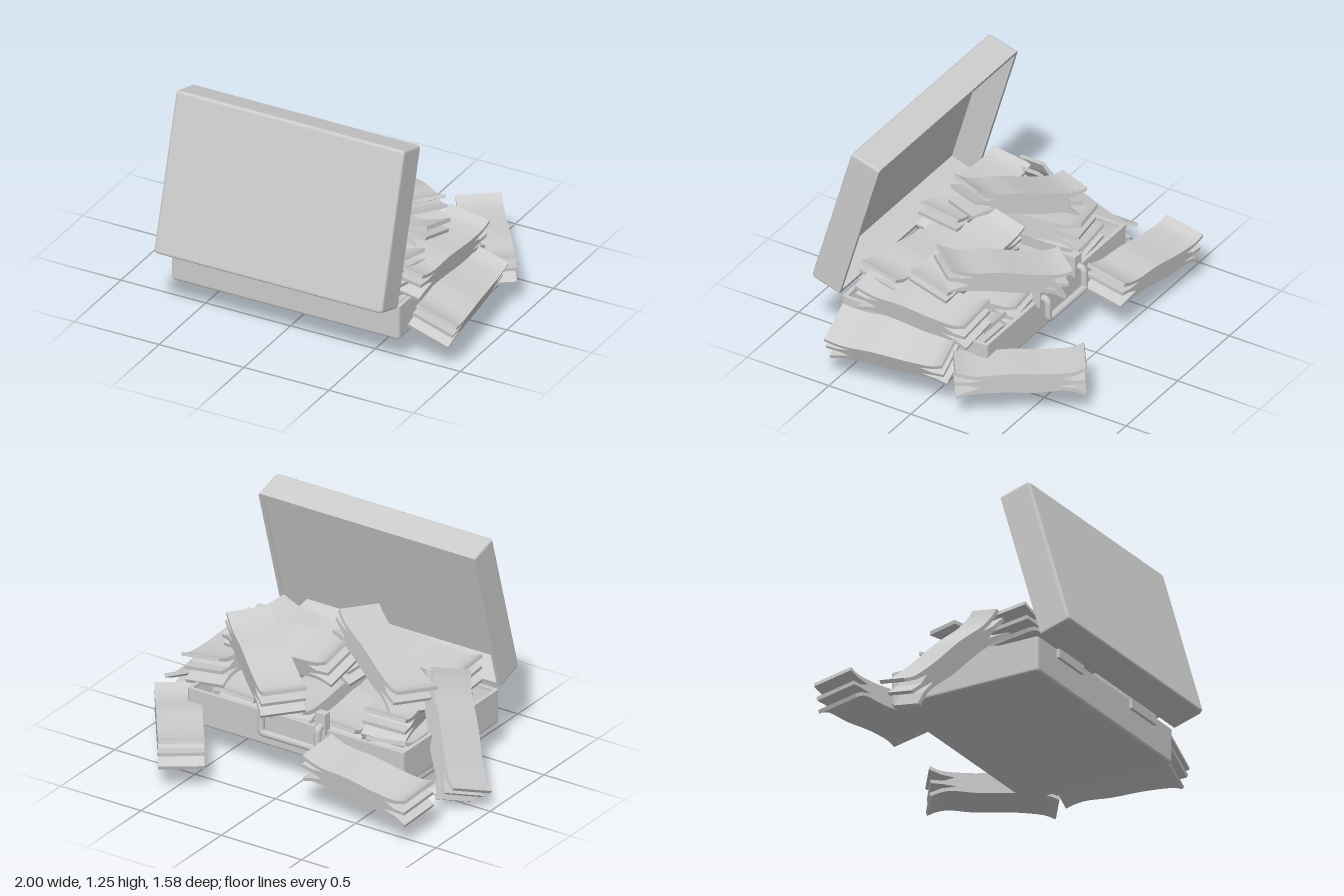
import * as THREE from 'three';

const material = new THREE.MeshStandardMaterial({ color: 0xcccccc, side: THREE.DoubleSide });

function add(parent, geometry, name, x = 0, y = 0, z = 0) {
  const mesh = new THREE.Mesh(geometry, material);
  mesh.name = name;
  mesh.position.set(x, y, z);
  parent.add(mesh);
  return mesh;
}

// Rounded rectangle outline centred on the origin
function roundedRect(w, d, r, Type = THREE.Shape) {
  const s = new Type(), x = w / 2, y = d / 2;
  s.moveTo(-x + r, -y);
  s.lineTo(x - r, -y).quadraticCurveTo(x, -y, x, -y + r);
  s.lineTo(x, y - r).quadraticCurveTo(x, y, x - r, y);
  s.lineTo(-x + r, y).quadraticCurveTo(-x, y, -x, y - r);
  s.lineTo(-x, -y + r).quadraticCurveTo(-x, -y, -x + r, -y);
  return s;
}

// Upright wall ring: a rounded rectangle with a hole, from y0 to y1
function wallRing(w, d, wall, y0, y1) {
  const s = roundedRect(w, d, 0.015);
  s.holes.push(roundedRect(w - 2 * wall, d - 2 * wall, 0.008, THREE.Path));
  return new THREE.ExtrudeGeometry(s, { depth: y1 - y0, bevelEnabled: false, curveSegments: 3 })
    .rotateX(-Math.PI / 2).translate(0, y0, 0);
}

// Four flat lining walls that lean inward towards the panel
function taperedLining(w, d, h, taper) {
  const g = new THREE.CylinderGeometry(Math.SQRT1_2, Math.SQRT1_2, h, 4, 1, true)
    .rotateY(Math.PI / 4).scale(w, 1, d).translate(0, h / 2, 0).toNonIndexed();
  const p = g.attributes.position;
  for (let i = 0; i < p.count; i++) {
    const inset = taper * (1 - p.getY(i) / h);
    p.setX(i, p.getX(i) - Math.sign(p.getX(i)) * inset);
    p.setZ(i, p.getZ(i) - Math.sign(p.getZ(i)) * inset);
  }
  g.computeVertexNormals();
  return g;
}

// Half of the case: bevelled panel, outer walls and leaning lining
function tray(name, w, d, h) {
  const g = new THREE.Group(), b = 0.015;
  g.name = name;
  const panel = new THREE.ExtrudeGeometry(roundedRect(w - 2 * b, d - 2 * b, 0.01), {
    depth: 0.002, bevelThickness: b, bevelSize: b, bevelSegments: 3, curveSegments: 3,
  }).rotateX(-Math.PI / 2).translate(0, b, 0);
  add(g, panel, name + 'Panel');
  add(g, wallRing(w, d, 0.022, b, h), name + 'Walls');
  add(g, taperedLining(w - 0.044, d - 0.044, h - 0.045, 0.03), name + 'Lining', 0, 0.03, 0);
  return g;
}

// Path through the given points with each inner corner rounded by r
function roundedPath(points, r) {
  const path = new THREE.CurvePath();
  const towards = (a, b) => a.clone().add(b.clone().sub(a).setLength(r));
  let start = points[0];
  for (let i = 1; i < points.length - 1; i++) {
    const before = towards(points[i], points[i - 1]), after = towards(points[i], points[i + 1]);
    path.add(new THREE.LineCurve3(start, before));
    path.add(new THREE.QuadraticBezierCurve3(before, points[i], after));
    start = after;
  }
  path.add(new THREE.LineCurve3(start, points[points.length - 1]));
  return path;
}

// Bundle side profile: wavy top and bottom, each end split into three curling leaves
function bundleGeometry() {
  const v = (x, y) => new THREE.Vector2(x, y);
  const top = [v(-0.34, 0.086), v(-0.27, 0.058), v(-0.12, 0.052), v(0.05, 0.06), v(0.2, 0.05), v(0.28, 0.06), v(0.335, 0.078)];
  const bottom = [v(0.33, -0.084), v(0.26, -0.06), v(0.1, -0.052), v(-0.08, -0.06), v(-0.22, -0.052), v(-0.29, -0.066), v(-0.335, -0.088)];
  const rightEnd = [v(0.34, 0.058), v(0.28, 0.038), v(0.2, 0.026), v(0.27, 0.016), v(0.34, 0.02),
    v(0.338, 0), v(0.27, -0.006), v(0.21, -0.022), v(0.27, -0.04), v(0.335, -0.066)];
  const leftEnd = [v(-0.342, -0.068), v(-0.28, -0.04), v(-0.2, -0.026), v(-0.27, -0.016), v(-0.335, -0.012),
    v(-0.337, 0.008), v(-0.27, 0.004), v(-0.21, 0.024), v(-0.28, 0.038), v(-0.345, 0.066)];
  const smooth = (p) => new THREE.SplineCurve(p).getPoints(20);
  const s = new THREE.Shape([...smooth(top), ...rightEnd, ...smooth(bottom), ...leftEnd]);
  return new THREE.ExtrudeGeometry(s, { depth: 0.24, bevelEnabled: false }).translate(0, 0, -0.12);
}

// Puts a bundle along the line between two end centres, rolled about its length
function placeBundle(parent, geometry, name, [ax, ay, az, bx, by, bz, roll]) {
  const a = new THREE.Vector3(ax, ay, az), b = new THREE.Vector3(bx, by, bz);
  const X = b.clone().sub(a).normalize();
  const Z = X.clone().cross(new THREE.Vector3(0, 1, 0)).normalize();
  const Y = Z.clone().cross(X);
  const mesh = add(parent, geometry, name);
  mesh.quaternion.setFromRotationMatrix(new THREE.Matrix4().makeBasis(X, Y, Z));
  mesh.rotateX(roll);
  mesh.position.copy(a.add(b).multiplyScalar(0.5));
}

export function createModel() {
  const model = new THREE.Group();
  model.name = 'openCaseOfBundles';
  const cx = 0.027, width = 1.345;

  // Case halves
  const base = tray('base', width, 0.885, 0.195);
  base.position.set(cx, 0.135, 0.167);
  const lid = tray('lid', width, 0.88, 0.18);
  lid.position.set(cx, 0.807, 0.677);
  lid.rotation.x = -1.853;
  model.add(base, lid);

  // Hinges
  for (const x of [-0.335, 0.39]) {
    add(model, new THREE.BoxGeometry(0.245, 0.05, 0.02), 'hinge', x, 0.305, 0.617);
  }

  // Carrying handle: arms reach out from the mounts and drop to a straight grip
  const grip = [[-0.15, 0.36, -0.28], [-0.15, 0.36, -0.332], [-0.15, 0.24, -0.335], [0.2, 0.24, -0.335], [0.2, 0.36, -0.332], [0.2, 0.36, -0.28]]
    .map((c) => new THREE.Vector3(...c));
  add(model, new THREE.TubeGeometry(roundedPath(grip, 0.025), 90, 0.02, 8), 'handle');
  for (const x of [-0.145, 0.195]) {
    add(model, new THREE.BoxGeometry(0.06, 0.12, 0.045), 'handleMount', x, 0.37, -0.278);
  }

  // Bundles: end centre, other end centre, roll
  const bundle = bundleGeometry();
  const spilled = [
    [-0.88, 0.19, -0.475, -0.2, 0.25, -0.42, -0.12],
    [-0.86, 0.11, -0.05, -0.56, 0.5, 0.24, 0.45],
    [0.45, 0.2, -0.7, 0.83, 0.2, -0.17, 0],
    [0.79, 0.255, -0.13, 0.86, 0.23, 0.55, -0.38],
  ];
  const heaped = [
    [0.08, 0.455, -0.315, 0.55, 0.6, 0.075, 0],
    [-0.51, 0.5, 0.0, 0.01, 0.68, 0.28, 0.12],
    [-0.02, 0.54, 0.08, 0.65, 0.5, 0.12, -0.25],
    [0.66, 0.41, -0.2, 0.64, 0.42, 0.49, -0.15],
    [-0.6, 0.47, 0.4, 0.08, 0.5, 0.42, -0.1],
    [0.0, 0.42, 0.32, 0.66, 0.46, 0.42, -0.1],
    [-0.45, 0.38, -0.17, -0.32, 0.4, 0.5, 0.1],
  ];
  const packed = [-0.46, -0.13, 0.18, 0.5].map((x, i) =>
    [x - 0.02, 0.24, -0.18, x + 0.02, 0.25 + 0.01 * (i % 2), 0.5, 0.08 * (i % 2 ? 1 : -1)]);
  spilled.forEach((r) => placeBundle(model, bundle, 'spilledBundle', r));
  heaped.forEach((r) => placeBundle(model, bundle, 'heapedBundle', r));
  packed.forEach((r) => placeBundle(model, bundle, 'packedBundle', r));

  return model;
}
